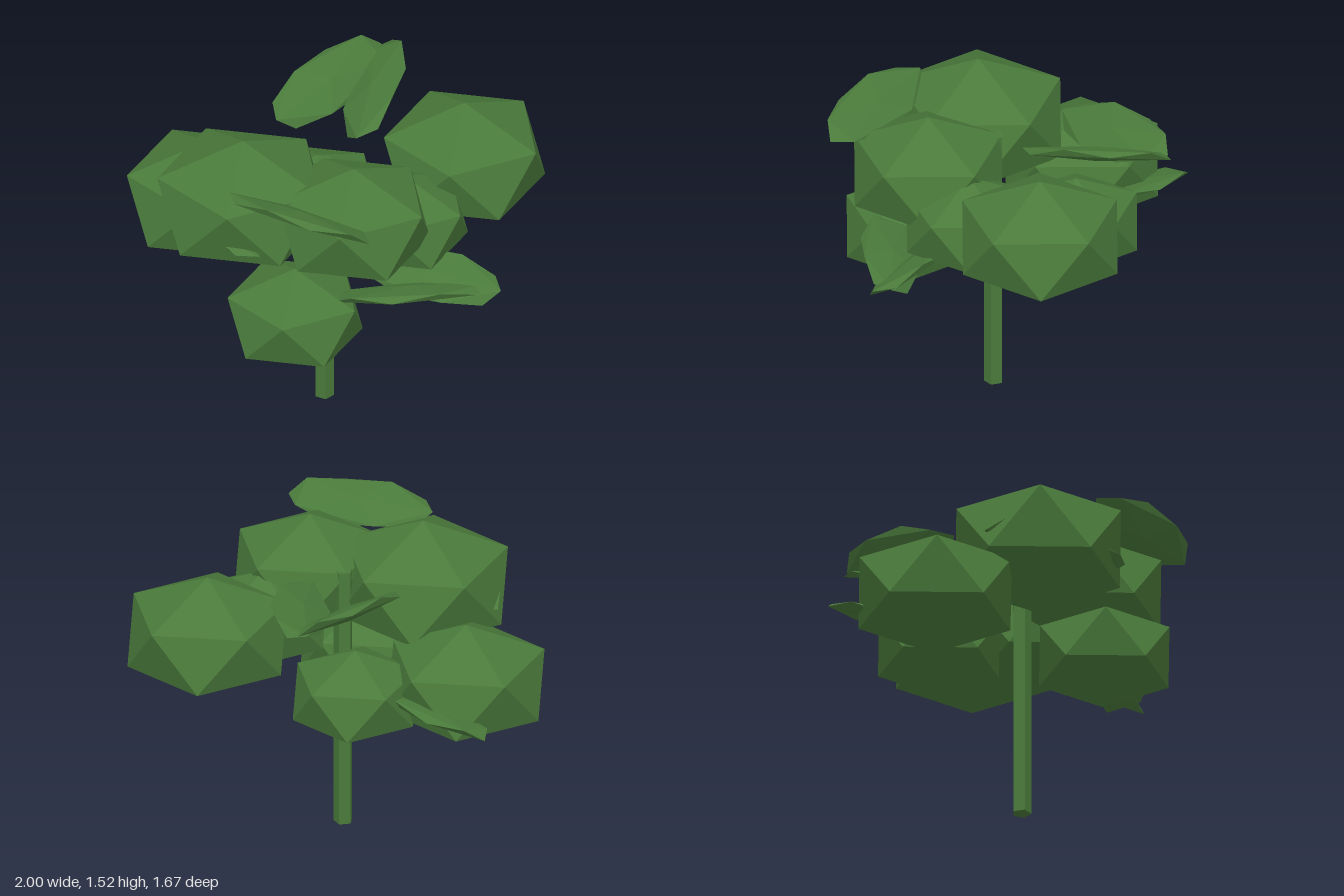
import * as THREE from 'three';

export function createModel() {
  const tree = new THREE.Group();
  tree.name = 'tree';
  const green = new THREE.MeshStandardMaterial({ color: 0x4a7a3b, flatShading: true });
  green.name = 'leaf green';

  // Twenty-sided solid standing on a corner, upper ring corner towards +x
  const solid = new THREE.IcosahedronGeometry(1, 0);
  solid.rotateX(-Math.atan((1 + Math.sqrt(5)) / 2));
  solid.rotateY(Math.PI / 2);

  const add = (geometry, name) => {
    const mesh = new THREE.Mesh(geometry, green);
    mesh.name = name;
    tree.add(mesh);
    return mesh;
  };

  // Five-sided trunk
  const trunk = add(new THREE.CylinderGeometry(0.047, 0.047, 1.33, 5, 1, false, Math.PI), 'trunk');
  trunk.position.set(0.04, 0.665, 0.107);

  // Squashed foliage clumps: x, y, z, radius
  const clumps = [
    [-0.24, 1.2, 0.395, 0.458],
    [0.305, 1.195, 0.3, 0.41],
    [0.48, 1.16, -0.47, 0.43],
    [-0.62, 0.905, 0.065, 0.423],
    [0.115, 0.735, 0.53, 0.36],
    [-0.175, 0.865, -0.22, 0.336],
    [0.405, 1.057, -0.005, 0.345],
  ];
  for (const [x, y, z, r] of clumps) {
    const clump = add(solid, 'foliageClump');
    clump.position.set(x, y, z);
    clump.scale.set(r, r * 0.7, r);
  }

  // Flat leaves: centre, long direction, direction of one side edge
  const leaves = [
    [[0.215, 1.39, 0.67], [-1, 0.04, 0.03], [0, 0.5, 1]],
    [[-0.22, 1.39, -0.41], [-0.25, -0.12, 1], [-1, 0.65, -0.2]],
    [[0.0, 1.39, -0.46], [0.3, -0.14, 1], [1, 0.5, -0.2]],
    [[0.62, 0.88, 0.3], [0.8, 0, -0.6], [0.6, 0.35, 0.8]],
    [[0.63, 0.89, 0.14], [1, 0.02, -0.05], [0, 0.55, -1]],
    [[-0.56, 0.87, -0.22], [1, 0.05, 0.35], [0.35, 0.3, -1]],
    [[-0.31, 1.14, 0.54], [0.9, -0.06, 0.48], [-0.4, 0.3, 0.9]],
  ];
  for (const [centre, along, side] of leaves) {
    const a = new THREE.Vector3(...along).normalize();
    const n = new THREE.Vector3(...side).cross(a).normalize();
    if (n.y < 0) n.negate();
    const s = new THREE.Vector3().crossVectors(a, n);
    const leaf = add(solid, 'leaf');
    leaf.position.set(...centre);
    leaf.quaternion.setFromRotationMatrix(new THREE.Matrix4().makeBasis(a, n, s));
    leaf.scale.set(0.42, 0.035, 0.16);
  }
  return tree;
}
